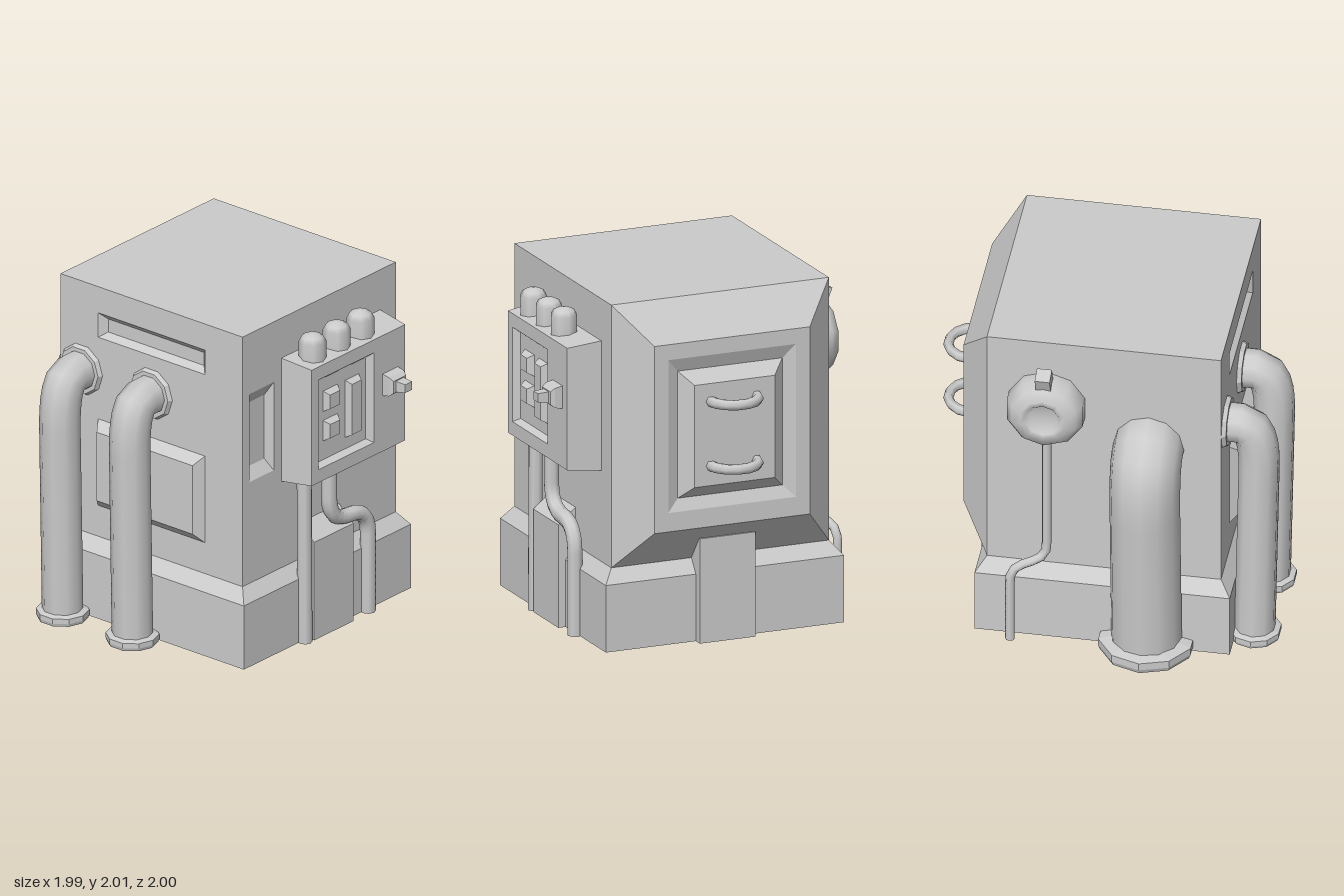
import * as THREE from 'three';

const mat = new THREE.MeshStandardMaterial({ color: 0xcccccc, side: THREE.DoubleSide });

// Each face maps (u, v, d) to space: u right, v up, d outward as seen from that side
const FACES = {
  front: (u, v, d) => [u, v, d],
  back: (u, v, d) => [-u, v, -d],
  right: (u, v, d) => [d, v, -u],
  left: (u, v, d) => [-d, v, u],
  top: (u, v, d) => [u, d, -v],
};

// Joins a chain of rectangles [u0, u1, v0, v1, depth]; the last one is filled if cap is set
function stepped(face, rects, cap = true) {
  const loops = rects.map(([u0, u1, v0, v1, d]) =>
    [[u0, v0], [u1, v0], [u1, v1], [u0, v1]].map(([u, v]) => FACES[face](u, v, d)));
  const pos = [];
  const quad = (a, b, c, d) => [a, b, c, a, c, d].forEach(p => pos.push(...p));
  for (let k = 0; k + 1 < loops.length; k++)
    for (let i = 0; i < 4; i++) {
      const j = (i + 1) % 4;
      quad(loops[k][i], loops[k][j], loops[k + 1][j], loops[k + 1][i]);
    }
  if (cap) quad(...loops[loops.length - 1]);
  const g = new THREE.BufferGeometry();
  g.setAttribute('position', new THREE.Float32BufferAttribute(pos, 3));
  g.computeVertexNormals();
  return g;
}

// Polyline with rounded corners, swept by a tube
function pipe(points, radius, bend, sides = 8, segments = 28) {
  const p = points.map(a => new THREE.Vector3(...a));
  const path = new THREE.CurvePath();
  let from = p[0];
  for (let i = 1; i < p.length - 1; i++) {
    const toward = q => p[i].clone().add(
      q.clone().sub(p[i]).setLength(Math.min(bend, q.distanceTo(p[i]) * 0.49)));
    const a = toward(p[i - 1]), b = toward(p[i + 1]);
    path.add(new THREE.LineCurve3(from, a));
    path.add(new THREE.QuadraticBezierCurve3(a, p[i], b));
    from = b;
  }
  path.add(new THREE.LineCurve3(from, p[p.length - 1]));
  return new THREE.TubeGeometry(path, segments, radius, sides, false);
}

const lathe = (profile, sides) =>
  new THREE.LatheGeometry(profile.map(([r, y]) => new THREE.Vector2(r, y)), sides);

export function createModel() {
  const model = new THREE.Group();
  const add = (name, geometry, x = 0, y = 0, z = 0, material = mat) => {
    const m = new THREE.Mesh(geometry, material);
    m.name = name;
    m.position.set(x, y, z);
    model.add(m);
    return m;
  };
  const flat = mat.clone();
  flat.flatShading = true;

  // Cabinet walls, with their recesses
  add('cabinetFront', stepped('front', [[-0.685, 0.64, 0.47, 2, 0.665],
    [-0.625, -0.415, 1.09, 1.63, 0.665], [-0.59, -0.445, 1.16, 1.55, 0.62]]));
  add('cabinetBack', stepped('back', [[-0.64, 0.685, 0.47, 2, 0.665]]));
  add('cabinetLeft', stepped('left', [[-0.665, 0.665, 0.47, 2, 0.685],
    [-0.39, 0.39, 1.69, 1.84, 0.685], [-0.35, 0.35, 1.72, 1.8, 0.645]]));
  add('cabinetTop', stepped('top', [[-0.685, 0.64, -0.665, 0.665, 2]]));
  add('cabinetDoor', stepped('right', [[-0.665, 0.665, 0.47, 2, 0.64],
    [-0.475, 0.475, 0.69, 1.78, 0.805], [-0.39, 0.39, 0.8, 1.69, 0.805],
    [-0.32, 0.32, 0.87, 1.61, 0.775], [-0.245, 0.245, 0.94, 1.535, 0.84]]));
  add('sidePanel', stepped('left', [[-0.39, 0.39, 0.66, 1.19, 0.685],
    [-0.35, 0.35, 0.72, 1.14, 0.745]]));

  // Plinth, open underneath, and its two piers
  add('plinth', stepped('top', [[-0.745, 0.7, -0.725, 0.73, 0],
    [-0.745, 0.7, -0.725, 0.73, 0.39], [-0.685, 0.64, -0.665, 0.665, 0.47]], false));
  add('sidePier', new THREE.BoxGeometry(0.115, 0.61, 0.34), 0.6975, 0.305, 0.005);
  const profile = new THREE.Shape([[0.64, 0], [0.77, 0], [0.77, 0.6], [0.665, 0.69], [0.64, 0.69]]
    .map(([z, y]) => new THREE.Vector2(-z, y)));
  add('frontPier', new THREE.ExtrudeGeometry(profile, { depth: 0.34, bevelEnabled: false })
    .rotateY(Math.PI / 2), -0.19);

  // Door handles
  for (const y of [1.055, 1.43]) {
    const arc = new THREE.TorusGeometry(0.142, 0.03, 6, 7, Math.PI);
    add('doorHandle', arc.rotateZ(-Math.PI / 2).rotateX(Math.PI / 2).scale(0.97, 1, 1), 0.833, y, 0.005);
  }

  // Control box with sunken key field
  add('controlBox', stepped('front', [[-0.35, 0.505, 1, 1.755, 0.665],
    [-0.325, 0.485, 1.02, 1.73, 0.865], [-0.265, 0.215, 1.1, 1.65, 0.865],
    [-0.24, 0.19, 1.12, 1.62, 0.825]]));
  for (const [u0, u1, v0, v1] of [[-0.18, -0.055, 1.415, 1.54], [-0.18, -0.055, 1.235, 1.36],
    [0.01, 0.13, 1.19, 1.54]])
    add('key', stepped('front', [[u0, u1, v0, v1, 0.825],
      [u0 + 0.02, u1 - 0.02, v0 + 0.02, v1 - 0.02, 0.862]]));
  add('switchMount', stepped('front', [[0.29, 0.42, 1.36, 1.495, 0.86],
    [0.29, 0.42, 1.37, 1.485, 0.91], [0.3, 0.41, 1.39, 1.465, 0.935]]));
  add('switchLever', stepped('front', [[0.32, 0.39, 1.39, 1.46, 0.92],
    [0.325, 0.385, 1.405, 1.455, 1]]));

  // Lamps on top of the control box
  for (const x of [-0.2, 0.01, 0.215])
    add('lamp', lathe([[0.078, 1.72], [0.078, 1.84], [0.062, 1.868], [0.035, 1.882], [0, 1.888]], 8),
      x, 0, 0.765);

  // Front conduits
  add('straightConduit', pipe([[-0.235, 0, 0.74], [-0.235, 1.02, 0.735]], 0.042, 0, 8, 1));
  add('bentConduit', pipe([[-0.02, 1.02, 0.735], [-0.02, 0.65, 0.735], [0.31, 0.64, 0.74],
    [0.31, 0, 0.74]], 0.045, 0.16));

  // Two side ducts with wall flange and floor collar
  const collar = (r, inner, h) =>
    lathe([[inner, 0.02], [r * 0.96, 0], [r, h * 0.3], [r, h * 0.8], [inner, h]], 10);
  for (const z of [-0.51, 0]) {
    add('sideDuct', pipe([[-0.85, 0, z], [-0.88, 1.46, z], [-0.66, 1.46, z]], 0.116, 0.3, 10));
    add('wallFlange', new THREE.CylinderGeometry(0.14, 0.155, 0.03, 10).rotateZ(Math.PI / 2),
      -0.695, 1.46, z, flat);
    add('floorCollar', collar(0.15, 0.11, 0.06), -0.85, 0, z, flat);
  }

  // Large rear duct
  add('rearDuct', pipe([[-0.275, 0, -0.73], [-0.275, 1.33, -0.81], [-0.275, 1.36, -0.55]],
    0.2, 0.34, 12));
  add('rearCollar', collar(0.275, 0.2, 0.09), -0.275, 0, -0.72, flat);

  // Rear gauge with sunken dial, cap block and thin line
  const gauge = lathe([[0.225, 0], [0.225, 0.08], [0.19, 0.13], [0.13, 0.155], [0.1, 0.155],
    [0.075, 0.125], [0, 0.125]], 10);
  add('gauge', gauge.rotateX(-Math.PI / 2), 0.3, 1.57, -0.665);
  add('gaugeCap', new THREE.BoxGeometry(0.085, 0.12, 0.085), 0.302, 1.8, -0.757).rotation.x = -0.38;
  add('gaugeLine', pipe([[0.295, 1.4, -0.71], [0.295, 0.54, -0.71], [0.49, 0.49, -0.785],
    [0.49, 0, -0.785]], 0.027, 0.08));

  return model;
}
